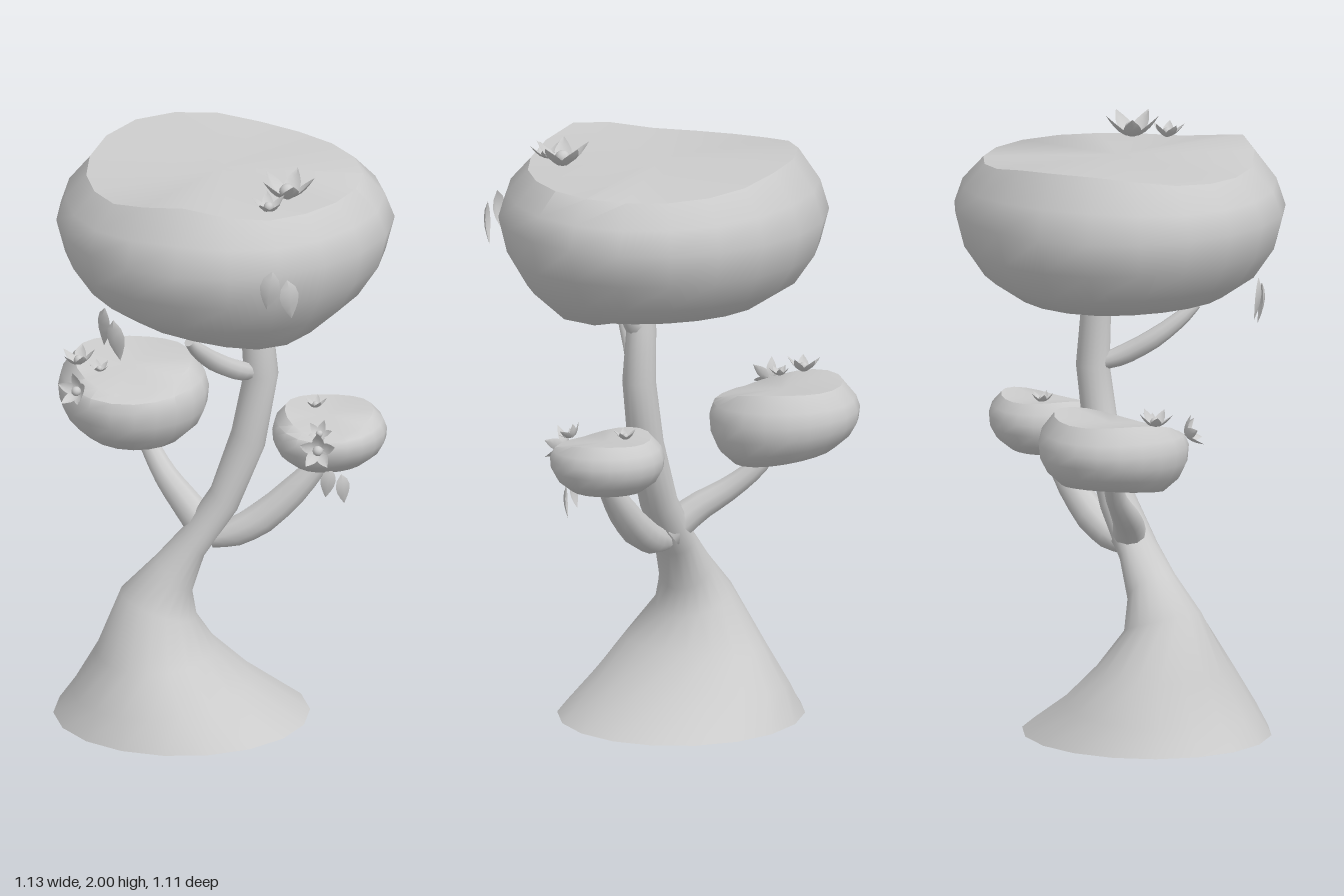
import * as THREE from 'three';
import { toCreasedNormals } from 'three/addons/utils/BufferGeometryUtils.js';

const V = (x, y, z) => new THREE.Vector3(x, y, z);
const grey = new THREE.MeshStandardMaterial({ color: 0xcccccc });
const thin = new THREE.MeshStandardMaterial({ color: 0xcccccc, side: THREE.DoubleSide });

// Skin a stack of equal rings and close both ends with fans
function loft(rings, crease, startTip, endTip) {
  const n = rings[0].length, pos = [], index = [];
  const middle = ring => ring.reduce((s, p) => s.add(p), V(0, 0, 0)).divideScalar(n);
  rings.forEach(ring => ring.forEach(p => pos.push(p.x, p.y, p.z)));
  const a = startTip || middle(rings[0]), b = endTip || middle(rings[rings.length - 1]);
  pos.push(a.x, a.y, a.z, b.x, b.y, b.z);
  const last = (rings.length - 1) * n, tip = rings.length * n;
  for (let j = 0; j < n; j++) {
    const k = (j + 1) % n;
    for (let i = 0; i < last; i += n) {
      index.push(i + j, i + n + j, i + k, i + k, i + n + j, i + n + k);
    }
    index.push(tip, j, k, tip + 1, last + k, last + j);
  }
  const geo = new THREE.BufferGeometry();
  geo.setAttribute('position', new THREE.Float32BufferAttribute(pos, 3));
  geo.setIndex(index);
  return toCreasedNormals(geo, crease);
}

const circle = (n, fn) => Array.from({ length: n }, (_, j) => fn(j / n * Math.PI * 2));

// Smooth bump around an angle given in degrees
const bump = (a, centre, width) => Math.exp(-(((1 - Math.cos(a - centre * Math.PI / 180)) * 2) / (width * width)));

function add(parent, name, geo, material = grey) {
  const mesh = new THREE.Mesh(geo, material);
  mesh.name = name;
  parent.add(mesh);
  return mesh;
}

// Trunk ring from its left and right silhouette points plus depth radius
function trunkRing([lx, ly, rx, ry, rz]) {
  return circle(18, a => {
    const t = (1 + Math.cos(a)) / 2;
    return V(lx + (rx - lx) * t, ly + (ry - ly) * t, rz * Math.sin(a));
  });
}

// Tapered branch along a smooth curve
function branch(points, radii) {
  const curve = new THREE.CatmullRomCurve3(points.map(p => V(...p)));
  const steps = 10, frames = curve.computeFrenetFrames(steps);
  const rings = [];
  for (let i = 0; i <= steps; i++) {
    const c = curve.getPoint(i / steps), f = i / steps * (radii.length - 1);
    const k = Math.min(Math.floor(f), radii.length - 2);
    const r = THREE.MathUtils.lerp(radii[k], radii[k + 1], f - k);
    const n = frames.normals[i], b = frames.binormals[i];
    rings.push(circle(10, a => c.clone().addScaledVector(b, r * Math.cos(a)).addScaledVector(n, r * Math.sin(a))));
  }
  return loft(rings, 1);
}

// Bowl-shaped foliage: profile of [radius, height], uneven outline, uneven rim
function foliage({ at, profile, wobble, depth, rim, sag, tip, base }) {
  const top = profile.length - 1;
  const rings = profile.map(([r, y], i) => circle(20, a => {
    const out = r * (1 + wobble * Math.sin(3 * a + 1 + i * 0.15));
    const x = out * Math.cos(a), z = out * Math.sin(a) * depth;
    const lift = i === top ? rim(a) : i === top - 1 ? rim(a) * 0.4 : sag(x, z) * (1 - i / (top - 1));
    return V(at[0] + x, y + lift, at[1] + z);
  }));
  return loft(rings, 0.74, V(at[0], base, at[1]), V(at[0], tip, at[1]));
}

// Pointed, slightly cupped leaf growing along +y
function leafGeometry(length, width) {
  const geo = new THREE.PlaneGeometry(1, 1, 2, 5), p = geo.attributes.position;
  for (let i = 0; i < p.count; i++) {
    const t = p.getY(i) + 0.5, s = p.getX(i) * 2;
    const w = width / 2 * Math.sin(Math.PI * Math.pow(t, 0.8));
    p.setXYZ(i, s * w, t * length, (1 - Math.abs(s)) * w * 0.4 - 0.08 * length * t * t);
  }
  geo.computeVertexNormals();
  return geo;
}

// Five petals around a round heart, facing a direction
function flower(parent, at, facing, size, spin) {
  const g = new THREE.Group();
  g.name = 'flower';
  const petal = leafGeometry(size, size * 0.5);
  for (let i = 0; i < 5; i++) {
    const mesh = add(g, 'petal', petal, thin);
    mesh.rotation.set(0.95, spin + i * Math.PI * 0.4, 0, 'YXZ');
  }
  add(g, 'flowerHeart', new THREE.SphereGeometry(size * 0.22, 10, 8)).position.y = size * 0.22;
  g.position.set(...at);
  g.quaternion.setFromUnitVectors(V(0, 1, 0), V(...facing).normalize());
  parent.add(g);
}

// Pair of hanging leaves
function hangingLeaves(parent, at, size, turn) {
  const g = new THREE.Group();
  g.name = 'hangingLeaves';
  const blade = leafGeometry(size, size * 0.46);
  [-1, 1].forEach(s => {
    const leaf = add(g, 'leaf', blade, thin);
    leaf.position.set(s * size * 0.16, s * -size * 0.1, s * size * 0.04);
    leaf.rotation.set(0, s * 0.2, Math.PI + s * 0.14);
  });
  g.position.set(...at);
  g.rotation.y = turn;
  parent.add(g);
}

export function createModel() {
  const model = new THREE.Group();
  model.name = 'tree';

  // Flared, leaning trunk: left x, left y, right x, right y, depth radius
  add(model, 'trunk', loft([
    [-0.56, 0, 0.29, 0, 0.405],
    [-0.50, 0.08, 0.10, 0.13, 0.335],
    [-0.42, 0.22, -0.02, 0.24, 0.25],
    [-0.34, 0.43, -0.085, 0.34, 0.13],
    [-0.22, 0.55, -0.10, 0.43, 0.095],
    [-0.13, 0.65, -0.06, 0.56, 0.078],
    [-0.04, 0.79, 0.05, 0.72, 0.067],
    [0.03, 1.0, 0.14, 0.94, 0.06],
    [0.07, 1.2, 0.185, 1.2, 0.055],
    [0.06, 1.37, 0.165, 1.39, 0.048],
    [0.065, 1.47, 0.14, 1.49, 0.035],
  ].map(trunkRing), 0.9));

  // Branches
  add(model, 'leftBranch', branch(
    [[-0.04, 0.61, 0], [0.04, 0.635, 0], [0.13, 0.685, 0], [0.23, 0.775, 0], [0.31, 0.865, 0], [0.35, 0.92, 0]],
    [0.03, 0.05, 0.056, 0.05, 0.037, 0.027]));
  add(model, 'backBranch', branch(
    [[-0.05, 0.64, 0], [-0.12, 0.715, -0.07], [-0.18, 0.775, -0.15], [-0.23, 0.85, -0.23], [-0.27, 0.93, -0.28]],
    [0.06, 0.048, 0.036, 0.028]));
  add(model, 'twig', branch(
    [[0.1, 1.21, 0.01], [0.05, 1.235, 0.06], [-0.03, 1.295, 0.13], [-0.09, 1.365, 0.2], [-0.12, 1.41, 0.24]],
    [0.026, 0.034, 0.033, 0.026, 0.016]));
  add(model, 'topStub', branch([[0.1, 1.36, 0], [0.15, 1.41, 0.01], [0.18, 1.47, 0.02]], [0.045, 0.036, 0.025]));

  // Large crown, sagging at the front
  add(model, 'crown', foliage({
    at: [0, -0.005], wobble: 0.018, depth: 0.97, base: 1.46, tip: 1.935,
    profile: [[0.12, 1.465], [0.24, 1.46], [0.35, 1.465], [0.46, 1.535], [0.53, 1.635], [0.56, 1.75], [0.53, 1.83], [0.458, 1.905]],
    rim: a => 0.055 * Math.min(1, bump(a, 110, 0.4) + 1.2 * bump(a, -115, 0.7)),
    sag: (x, z) => -0.105 * Math.exp(-((x - 0.13) ** 2 + (z - 0.21) ** 2) / 0.055) - 0.05 * Math.min(0, x + 0.2),
  }));

  // Smaller foliage bowls
  add(model, 'backFoliage', foliage({
    at: [-0.29, -0.3], wobble: 0.025, depth: 1, base: 0.89, tip: 1.12,
    profile: [[0.09, 0.89], [0.17, 0.9], [0.22, 0.945], [0.245, 0.995], [0.25, 1.045], [0.237, 1.085], [0.195, 1.125]],
    rim: a => -0.03 * Math.sin(a) + 0.015 * Math.cos(2 * a),
    sag: (x, z) => -0.08 * x - 0.17 * z,
  }));
  add(model, 'leftFoliage', foliage({
    at: [0.35, -0.01], wobble: 0.025, depth: 1, base: 0.88, tip: 1.045,
    profile: [[0.07, 0.878], [0.12, 0.885], [0.165, 0.92], [0.187, 0.96], [0.19, 0.995], [0.178, 1.025], [0.147, 1.05]],
    rim: a => -0.02 * Math.sin(a) + 0.012 * Math.cos(2 * a),
    sag: x => 0.03 * x,
  }));

  // Flowers
  [
    [[0.205, 1.92, 0.25], [0, 1, 0], 0.12, 0.2],
    [[0.14, 1.915, 0.345], [0, 1, 0.1], 0.075, 0.7],
    [[-0.465, 1.13, -0.27], [-0.1, 1, 0], 0.075, 0.3],
    [[-0.40, 1.125, -0.22], [0, 1, 0.1], 0.045, 0.9],
    [[-0.47, 1.085, -0.14], [-0.6, 0.4, 0.7], 0.075, 0.1],
    [[0.31, 1.05, -0.06], [0, 1, 0], 0.05, 0.4],
    [[0.31, 0.99, 0.17], [-0.1, 0.25, 1], 0.08, 0.5],
    [[0.315, 1.03, 0.14], [0, 0.8, 0.6], 0.055, 0.2],
  ].forEach(f => flower(model, ...f));

  // Hanging leaf pairs
  hangingLeaves(model, [0.17, 1.765, 0.545], 0.145, 0.1);
  hangingLeaves(model, [-0.385, 1.53, 0.28], 0.145, -0.75);
  hangingLeaves(model, [0.37, 0.895, 0.12], 0.11, 0.2);

  return model;
}
